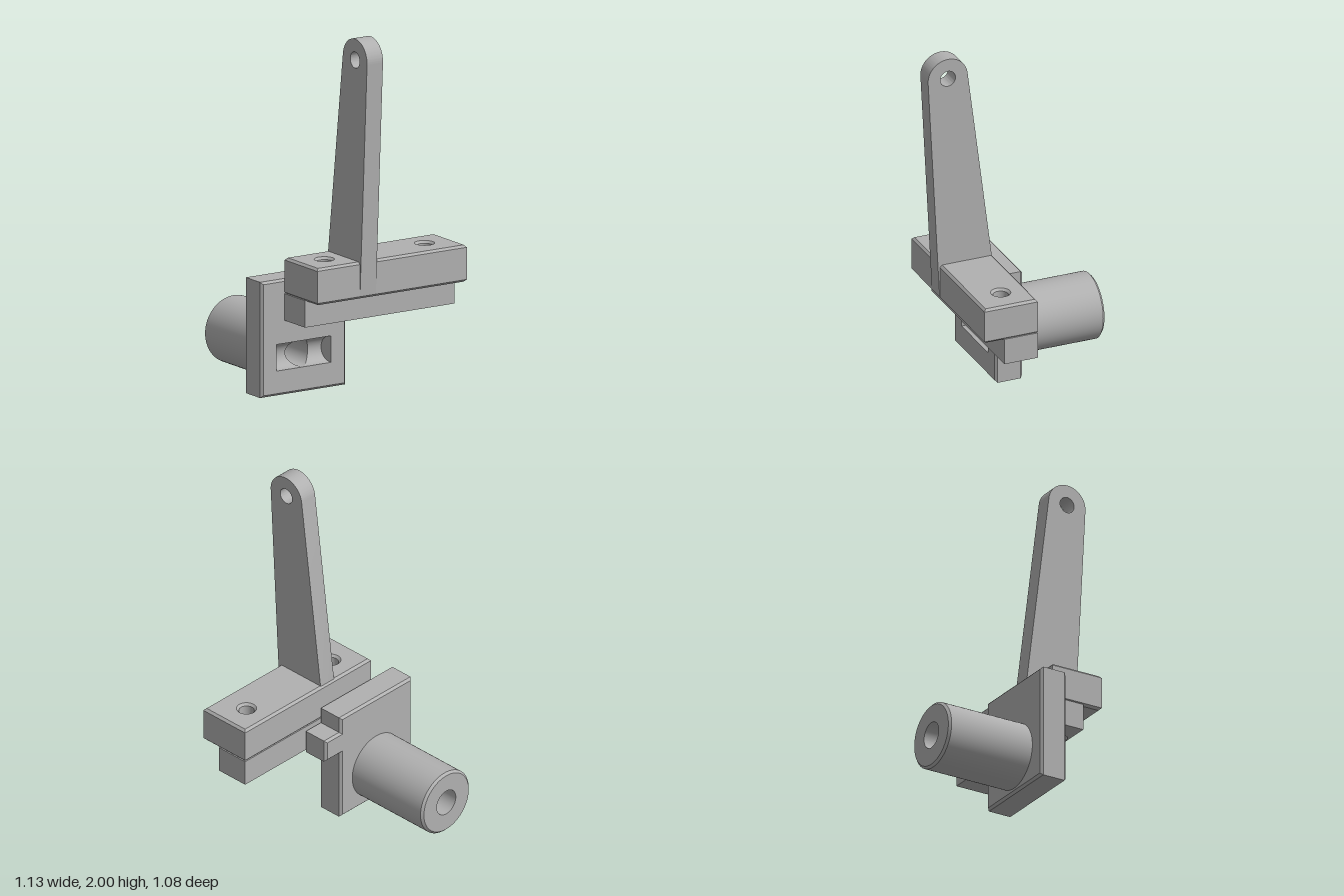
import * as THREE from 'three';
import { toCreasedNormals } from 'three/addons/utils/BufferGeometryUtils.js';

const C = 0.013;                    // edge chamfer
const CX = -0.287, CY = 0.213;      // bore axis
const R = 0.074;                    // bore and pocket radius
const FRONT = 0.15, BACK = -0.012;  // plate faces

// Surface ruled between two curves a(t) and b(t)
function ruled(a, b, t0, t1, n) {
  const pos = [], index = [];
  for (let i = 0; i <= n; i++) {
    const t = t0 + (t1 - t0) * i / n;
    pos.push(...a(t), ...b(t));
    if (i < n) index.push(2 * i, 2 * i + 1, 2 * i + 2, 2 * i + 1, 2 * i + 3, 2 * i + 2);
  }
  const g = new THREE.BufferGeometry();
  g.setAttribute('position', new THREE.Float32BufferAttribute(pos, 3));
  g.setIndex(index);
  g.computeVertexNormals();
  return g;
}

const polygon = pts => new THREE.Shape(pts.map(p => new THREE.Vector2(...p)));
const rect = (x0, x1, y0, y1) => polygon([[x0, y0], [x1, y0], [x1, y1], [x0, y1]]);
const circle = (x, y, r) => new THREE.Path().absarc(x, y, r, 0, Math.PI * 2, true);

function extrude(shape, depth, chamfer = 0) {
  return new THREE.ExtrudeGeometry(shape, {
    depth: depth - 2 * chamfer, curveSegments: 32, bevelEnabled: chamfer > 0,
    bevelSize: chamfer, bevelThickness: chamfer, bevelSegments: 1,
  }).translate(0, 0, chamfer);
}

// Keeps only the walls of an extrusion, without its end caps
function wallsOnly(g) {
  const { start, count } = g.groups[1];
  const out = new THREE.BufferGeometry();
  for (const name of ['position', 'normal']) {
    const data = g.attributes[name].array.slice(start * 3, (start + count) * 3);
    out.setAttribute(name, new THREE.BufferAttribute(data, 3));
  }
  return out;
}

export function createModel() {
  const model = new THREE.Group();
  model.name = 'leverBracket';
  const metal = new THREE.MeshStandardMaterial({ color: 0xb0b0b0, side: THREE.DoubleSide });
  metal.name = 'grey metal';
  const add = (name, geometry, parent = model) => {
    const mesh = new THREE.Mesh(geometry, metal);
    mesh.name = name;
    parent.add(mesh);
    return mesh;
  };

  // Back plate with side tab; front has a pocket, back has the bore
  const plate = new THREE.Group();
  plate.name = 'backPlate';
  model.add(plate);
  const outline = () => polygon([
    [-0.565 + C, C], [-0.01 - C, C], [-0.01 - C, 0.415 + C], [0.107 - C, 0.415 + C],
    [0.107 - C, 0.55 - C], [-0.01 - C, 0.55 - C], [-0.01 - C, 0.645 - C], [-0.565 + C, 0.645 - C],
  ]);
  add('plateEdges', wallsOnly(extrude(outline(), FRONT - BACK, C)).translate(0, 0, BACK), plate);
  const L = 0.178;
  const frontFace = outline();
  frontFace.holes.push(rect(CX - L, CX + L, CY - R, CY + R));
  add('plateFront', new THREE.ShapeGeometry(frontFace).translate(0, 0, FRONT), plate);
  const backFace = outline();
  backFace.holes.push(circle(CX, CY, R));
  add('plateBack', new THREE.ShapeGeometry(backFace, 32).translate(0, 0, BACK), plate);

  // Half-round pocket, broken by the bore
  const h = Math.PI / 2;
  for (const s of [1, -1]) {
    const y = t => CY + R * Math.sin(t);
    const z = t => FRONT - R * Math.cos(t);
    const deepEnd = t => [CX + s * (L - 0.016 * Math.cos(t)), y(t), z(t)];
    add('pocketFloor', ruled(t => [CX + s * R * Math.cos(t), y(t), z(t)], deepEnd, -h, h, 32), plate);
    add('pocketEnd', ruled(t => [CX + s * L, y(t), FRONT], deepEnd, -h, h, 32), plate);
  }

  // Hollow round stub on the back
  const profile = [[0.187, 0], [0.187, 0.515], [0.174, 0.528], [R, 0.528]];
  const stub = new THREE.LatheGeometry(profile.map(p => new THREE.Vector2(...p)), 64);
  add('stub', toCreasedNormals(stub, 0.5).rotateX(-Math.PI / 2).translate(CX, CY, BACK));
  add('bore', ruled(
    t => [CX + R * Math.cos(t), CY + R * Math.sin(t), FRONT - R * Math.abs(Math.cos(t))],
    t => [CX + R * Math.cos(t), CY + R * Math.sin(t), BACK - 0.528], 0, Math.PI * 2, 64));

  // Stepped crossbar with two vertical bolt holes
  const HOLES = [-0.255, 0.4], HZ = 0.3, HR = 0.042;
  const bar = (name, zBack, zFront, y0, y1, c) => {
    const shape = rect(-0.415 + c, 0.563 - c, -zFront + c, -zBack - c);
    for (const x of HOLES) shape.holes.push(circle(x, -HZ, HR + c));
    const g = extrude(shape, y1 - y0, c).rotateX(-Math.PI / 2).translate(0, y0, 0);
    add(name, toCreasedNormals(g, 0.5));
  };
  bar('crossbarUpper', 0.152, 0.468, 0.56, 0.765, C);
  bar('crossbarLower', 0.152, 0.35, 0.415, 0.565, 0);
  for (const x of HOLES) {
    const lining = new THREE.CylinderGeometry(HR, HR, 0.335, 48, 1, true);
    add('boltHoleLining', lining.translate(x, 0.5835, HZ));
  }

  // Tapered upright lever with a rounded, drilled tip
  const side = new THREE.Shape();
  side.moveTo(0.16, 0.575);
  side.lineTo(0.47, 0.575);
  side.absarc(0.421, 1.883, 0.117, -0.05, 3.01, false);
  side.lineTo(0.162, 0.765);
  side.closePath();
  side.holes.push(circle(0.421, 1.883, 0.045));
  const lever = extrude(side, 0.104).rotateY(-Math.PI / 2).translate(-0.033, 0, 0);
  add('lever', toCreasedNormals(lever, 0.5));

  return model;
}
